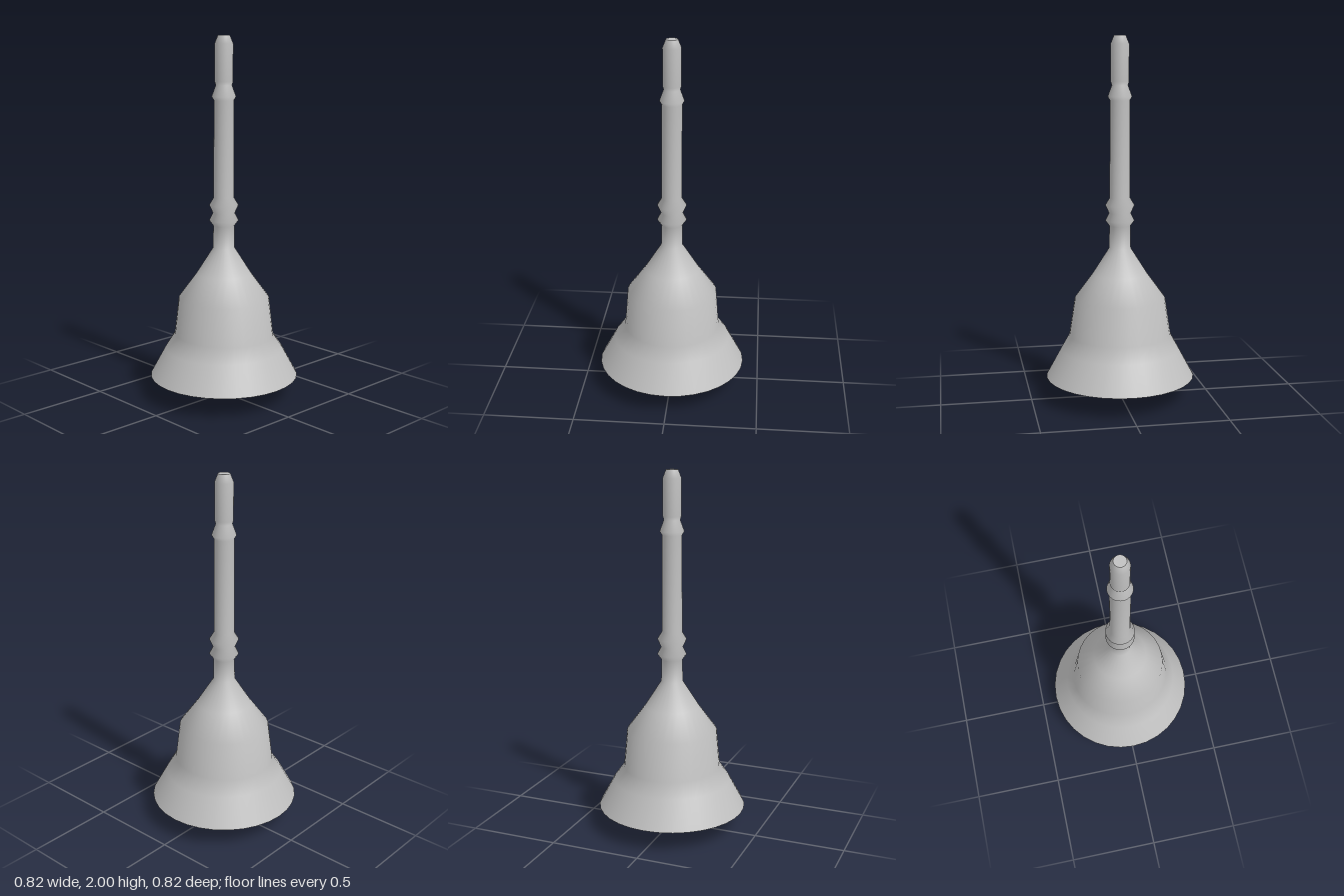
import * as THREE from 'three';
import { toCreasedNormals } from 'three/addons/utils/BufferGeometryUtils.js';

// Skin of elliptical rings [y, half width x, half depth z], listed bottom to top
function loft(rings, sides) {
  const pos = [], index = [];
  rings.forEach(([y, rx, rz = rx], r) => {
    for (let i = 0; i < sides; i++) {
      const a = (i / sides) * Math.PI * 2;
      pos.push(rx * Math.sin(a), y, rz * Math.cos(a));
      if (r === 0) continue;
      const j = (i + 1) % sides, lo = (r - 1) * sides, hi = r * sides;
      index.push(lo + i, lo + j, hi + j, lo + i, hi + j, hi + i);
    }
  });
  const g = new THREE.BufferGeometry();
  g.setAttribute('position', new THREE.Float32BufferAttribute(pos, 3));
  g.setIndex(index);
  g.computeVertexNormals();
  return g;
}

export function createModel() {
  const model = new THREE.Group();
  model.name = 'handBell';

  const silver = new THREE.MeshStandardMaterial({ color: 0xc0c0c0, side: THREE.DoubleSide });
  silver.name = 'silver';
  const brass = new THREE.MeshStandardMaterial({ color: 0xd6ba48, side: THREE.DoubleSide });
  brass.name = 'brass';

  const add = (parent, name, geometry, material) => {
    const mesh = new THREE.Mesh(geometry, material);
    mesh.name = name;
    parent.add(mesh);
    return mesh;
  };

  // Open bell running smoothly into the turned handle
  add(model, 'bellAndHandle', loft([
    [0.12, 0.412], [0.275, 0.328], [0.355, 0.268, 0.284], [0.565, 0.251],
    [0.7, 0.152], [0.845, 0.06], [0.97, 0.058],
    [1.0, 0.08], [1.04, 0.06], [1.085, 0.08], [1.125, 0.056],
    [1.655, 0.054], [1.675, 0.066], [1.735, 0.044], [1.755, 0.05],
    [1.955, 0.05], [2.0, 0.032],
  ], 32), silver);

  // Flat end of the handle
  const cap = add(model, 'handleCap', new THREE.CircleGeometry(0.032, 32), silver);
  cap.rotation.x = -Math.PI / 2;
  cap.position.y = 2.0;

  // Clapper: slightly off centre, flattened sideways, hanging from the bell's shoulder
  const clapper = new THREE.Group();
  clapper.name = 'clapper';
  clapper.position.set(0.03, 0, 0.008);
  model.add(clapper);
  const head = loft([
    [0, 0.001], [0, 0.045, 0.05], [0.058, 0.045, 0.07], [0.068, 0.043, 0.068],
    [0.08, 0.034, 0.054], [0.093, 0.039, 0.062], [0.108, 0.038, 0.058],
    [0.145, 0.026, 0.032],
  ], 16);
  add(clapper, 'clapperHead', toCreasedNormals(head, 0.6), brass);
  add(clapper, 'clapperRod', loft([[0.14, 0.026, 0.032], [0.2, 0.021], [0.7, 0.021]], 16), brass);

  return model;
}
